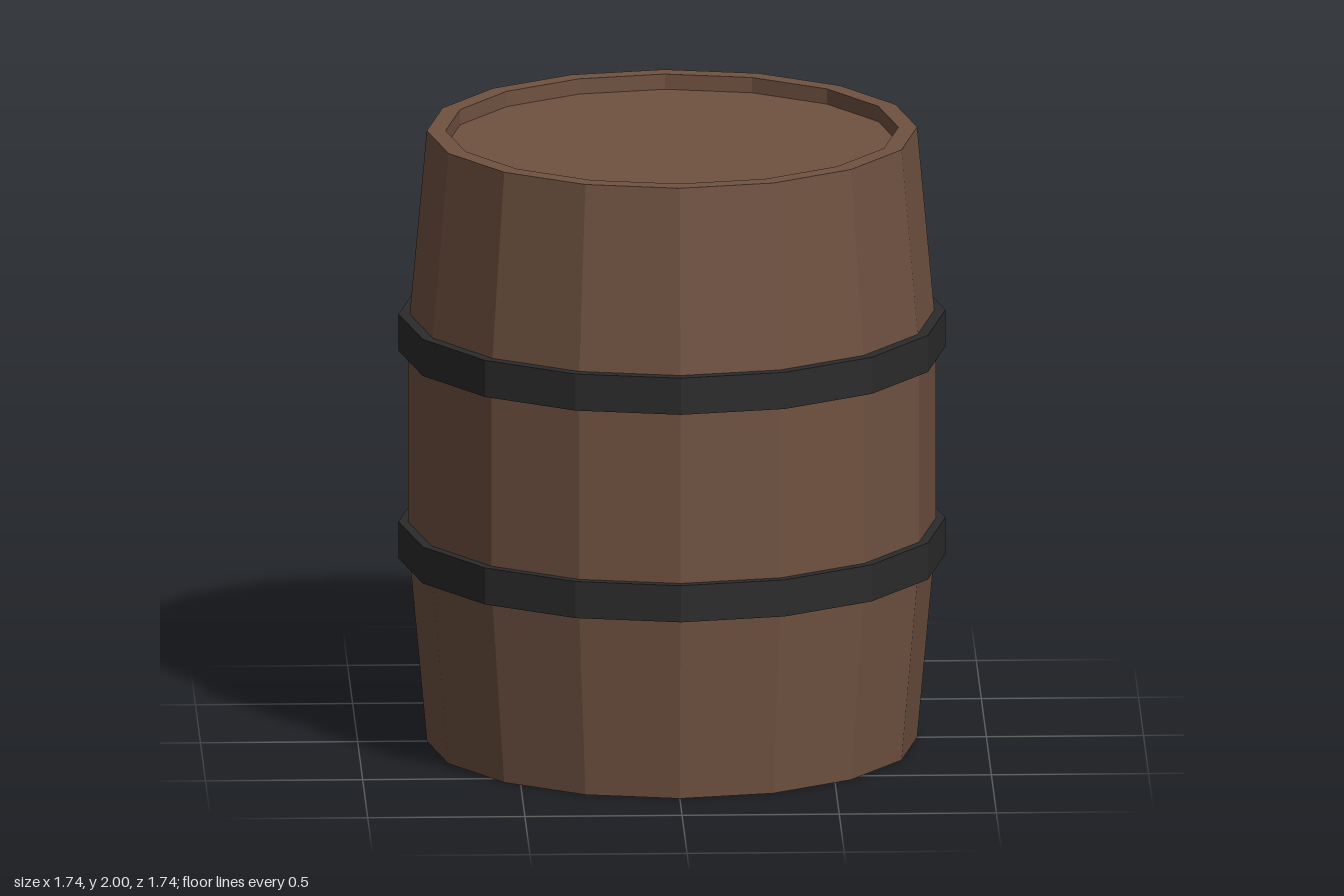
import * as THREE from 'three';

const SIDES = 16;

// Faceted solid of revolution; profile runs counter-clockwise seen with radius right, y up
function turned(name, profile, material) {
  const points = profile.map(([r, y]) => new THREE.Vector2(r, y));
  const mesh = new THREE.Mesh(new THREE.LatheGeometry(points, SIDES), material);
  mesh.name = name;
  return mesh;
}

export function createModel() {
  const wood = new THREE.MeshStandardMaterial({ color: 0x6f5140, flatShading: true });
  const iron = new THREE.MeshStandardMaterial({ color: 0x2b2b2b, flatShading: true });
  const barrel = new THREE.Group();
  barrel.name = 'barrel';

  // Bulging wall of staves with a rim at each end
  const end = 0.78, belly = 0.84, inner = 0.72, recess = 0.05;
  barrel.add(turned('staves', [
    [inner, recess], [inner, 0], [end, 0], [belly, 0.66],
    [belly, 1.34], [end, 2], [inner, 2], [inner, 2 - recess],
  ], wood));

  // Sunken lids
  barrel.add(turned('bottomLid', [[0, recess], [inner, recess]], wood));
  barrel.add(turned('topLid', [[inner, 2 - recess], [0, 2 - recess]], wood));

  // Iron hoops
  for (const [name, y] of [['lowerHoop', 0.66], ['upperHoop', 1.34]]) {
    const r = 0.87, inside = 0.82, h = 0.06;
    barrel.add(turned(name, [
      [inside, y - h], [r, y - h], [r, y + h], [inside, y + h], [inside, y - h],
    ], iron));
  }
  return barrel;
}
